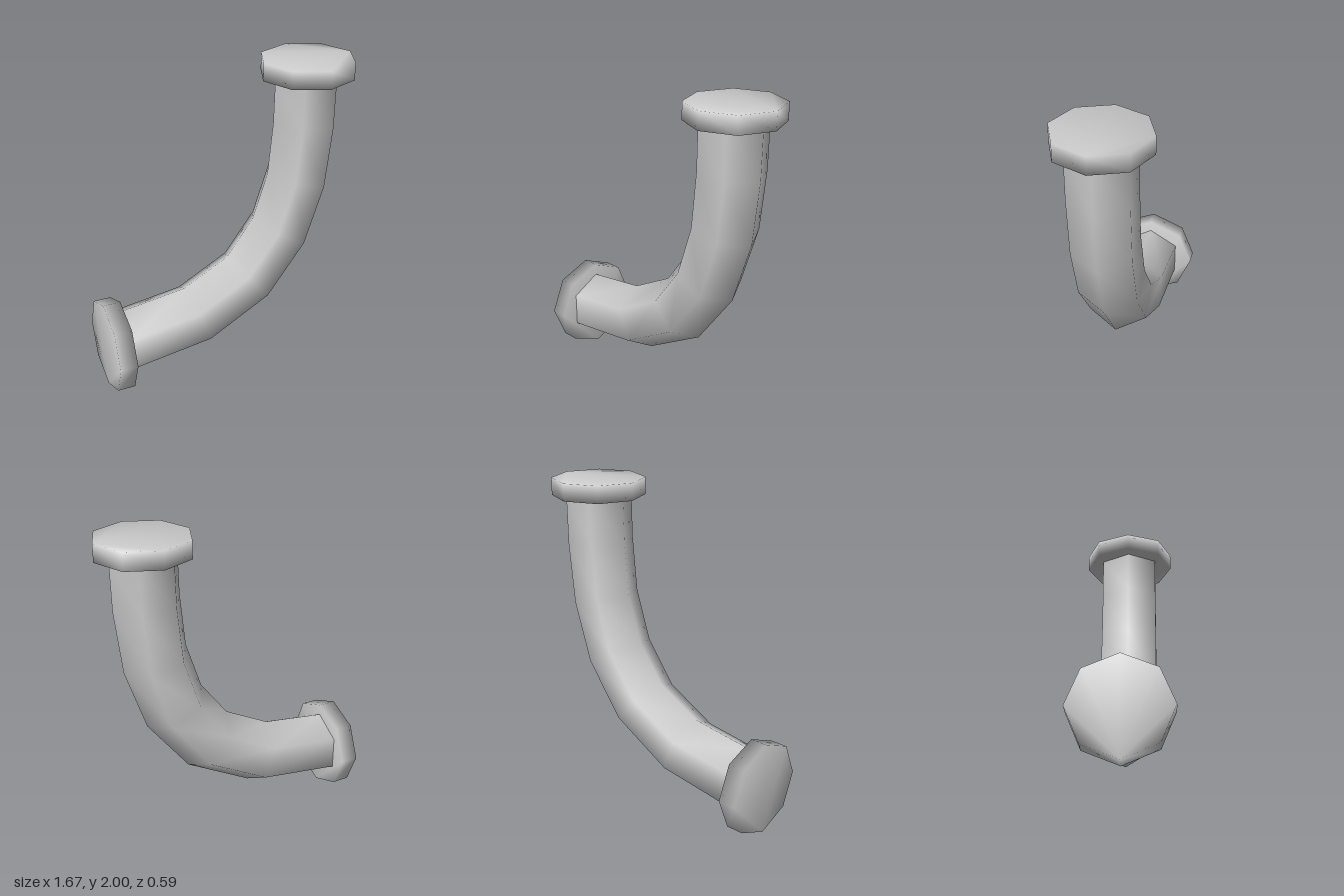
import * as THREE from 'three';

// Smooth loft through flat rings; each section is [outerX, outerY, innerX, innerY]
// and its ring reaches `radius` to either side in z.
function loft(sections, sides, radius, capped) {
  const pos = [], idx = [];
  for (const [ox, oy, ix, iy] of sections) {
    for (let j = 0; j < sides; j++) {
      const a = (j / sides) * Math.PI * 2;
      const c = Math.cos(a) / 2;
      pos.push((ox + ix) / 2 + (ox - ix) * c, (oy + iy) / 2 + (oy - iy) * c, radius * Math.sin(a));
    }
  }
  for (let i = 0; i < sections.length - 1; i++) {
    for (let j = 0; j < sides; j++) {
      const a = i * sides + j, b = i * sides + (j + 1) % sides;
      idx.push(a, a + sides, b + sides, a, b + sides, b);
    }
  }
  if (capped) {
    const e = (sections.length - 1) * sides;
    for (let j = 1; j < sides - 1; j++) {
      idx.push(0, j, j + 1);
      idx.push(e, e + j + 1, e + j);
    }
  }
  const g = new THREE.BufferGeometry();
  g.setAttribute('position', new THREE.Float32BufferAttribute(pos, 3));
  g.setIndex(idx);
  g.computeVertexNormals();
  return g;
}

export function createModel() {
  const group = new THREE.Group();
  const grey = new THREE.MeshStandardMaterial({ color: 0xcccccc });
  grey.name = 'pipe grey';

  const add = (name, geometry) => {
    const mesh = new THREE.Mesh(geometry, grey);
    mesh.name = name;
    group.add(mesh);
  };

  // Six-sided bent pipe
  add('bentPipe', loft([
    [-0.725, 0.094, -0.725, 0.52],
    [-0.155, 0.175, -0.295, 0.58],
    [0.285, 0.42, 0.005, 0.738],
    [0.56, 0.78, 0.185, 0.975],
    [0.695, 1.18, 0.285, 1.275],
    [0.742, 1.58, 0.318, 1.61],
    [0.748, 1.893, 0.325, 1.893],
  ], 6, 0.212, false));

  // Eight-sided end flanges
  const r = 0.296;
  add('sideFlange', loft([
    [-0.836, 0, -0.836, 2 * r],
    [-0.724, 0, -0.724, 2 * r],
  ], 8, r, true));
  add('topFlange', loft([
    [0.836, 1.89, 0.836 - 2 * r, 1.89],
    [0.836, 2, 0.836 - 2 * r, 2],
  ], 8, r, true));

  return group;
}
